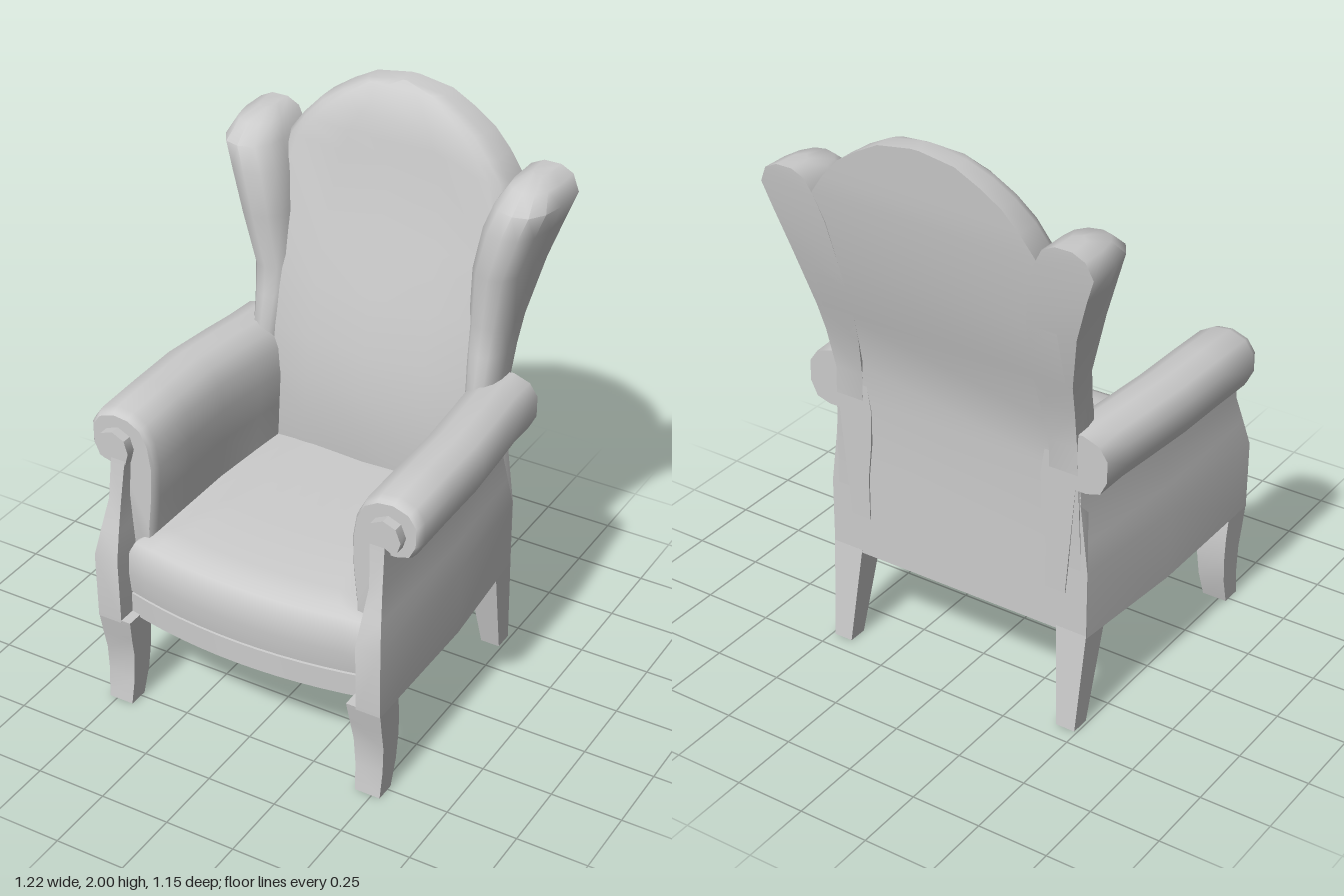
import * as THREE from 'three';
import { toCreasedNormals } from 'three/addons/utils/BufferGeometryUtils.js';

const material = new THREE.MeshStandardMaterial({ color: 0xcccccc });

// Piecewise linear lookup in a list of [key, value]
function along(table, t) {
  if (t <= table[0][0]) return table[0][1];
  for (let i = 1; i < table.length; i++) {
    const [a, va] = table[i - 1], [b, vb] = table[i];
    if (t <= b) return va + (vb - va) * (t - a) / (b - a);
  }
  return table[table.length - 1][1];
}

// Closed solid through rings of [x, y, z]; u and v are the axes of the ring plane
function loft(name, rings, u, v, crease = 0.75) {
  const n = rings[0].length, index = [];
  const points = rings.flat();
  for (let r = 0; r < rings.length - 1; r++) {
    for (let i = 0; i < n; i++) {
      const a = r * n + i, b = r * n + (i + 1) % n;
      index.push(a, b, b + n, a, b + n, a + n);
    }
  }
  const area = ring => THREE.ShapeUtils.area(ring.map(p => new THREE.Vector2(p[u], p[v])));
  [0, rings.length - 1].forEach((r, last) => {
    const flat = rings[r].map(p => new THREE.Vector2(p[u], p[v]));
    const ccw = area(rings[r]) > 0;
    for (const f of THREE.ShapeUtils.triangulateShape(flat, [])) {
      // triangulation follows the ring's own direction; make it agree with the walls
      const s = (flat[f[1]].x - flat[f[0]].x) * (flat[f[2]].y - flat[f[0]].y)
        - (flat[f[1]].y - flat[f[0]].y) * (flat[f[2]].x - flat[f[0]].x);
      const t = ((s > 0) === ccw) === (last === 1) ? f : [f[0], f[2], f[1]];
      index.push(...t.map(k => k + r * n));
    }
  });
  // turn the faces outward if the solid came out inside out
  let volume = 0;
  const P = k => new THREE.Vector3(...points[k]);
  for (let i = 0; i < index.length; i += 3) {
    volume += P(index[i]).dot(P(index[i + 1]).cross(P(index[i + 2])));
  }
  if (volume < 0) index.reverse();
  const geometry = new THREE.BufferGeometry();
  geometry.setAttribute('position', new THREE.Float32BufferAttribute(points.flat(), 3));
  geometry.setIndex(index);
  const mesh = new THREE.Mesh(toCreasedNormals(geometry.toNonIndexed(), crease), material);
  mesh.name = name;
  return mesh;
}
const loftUp = (name, rings, crease) => loft(name, rings, 0, 2, crease);
const loftDeep = (name, rings, crease) => loft(name, rings, 0, 1, crease);

// Rear surface of the backrest by height
const rear = y => along([[0.35, -0.4], [0.8, -0.395], [1.1, -0.405], [1.25, -0.45],
  [1.45, -0.505], [1.6, -0.535], [1.78, -0.56], [2, -0.575]], y);

// Bowed outline of the seat at one height
function seatRing(y, half, front, bow) {
  const ring = [[-half, y, -0.38], [half, y, -0.38]];
  for (let i = 0; i <= 12; i++) {
    const t = 1 - i / 6;
    ring.push([half * t, y, front - bow * t * t]);
  }
  return ring;
}

function backrest() {
  // height, half width, front at the middle, bulge, edge rounding
  const rows = [
    [0.35, 0.505, -0.3, 0, 0.02], [0.6, 0.505, -0.25, 0.04, 0.02], [0.8, 0.48, -0.23, 0.05, 0.02],
    [0.95, 0.465, -0.232, 0.05, 0.02], [1.1, 0.46, -0.25, 0.045, 0.02], [1.3, 0.46, -0.292, 0.035, 0.03],
    [1.5, 0.46, -0.345, 0.025, 0.04], [1.75, 0.41, -0.405, 0.015, 0.05], [1.82, 0.36, -0.415, 0.01, 0.05],
    [1.885, 0.3, -0.43, 0.01, 0.05], [1.935, 0.225, -0.45, 0.005, 0.04], [1.98, 0.14, -0.48, 0, 0.03],
    [2, 0.015, -0.505, 0, 0.004],
  ];
  return loftUp('backrest', rows.map(([y, w, front, bulge, round]) => {
    const half = [[w, front - bulge - round], [w - round * 0.4, front - bulge - round * 0.35],
      [w - round, front - bulge], [(w - round) * 0.5, front - bulge * 0.3]];
    return [[-w, y, rear(y)], [w, y, rear(y)], ...half.map(([x, z]) => [x, y, z]), [0, y, front],
      ...half.reverse().map(([x, z]) => [-x, y, z])];
  }));
}

function wing(s) {
  // height, inner x, outer x, front z
  const rows = [
    [0.6, 0.37, 0.48, -0.27], [1.05, 0.36, 0.465, -0.25], [1.2, 0.345, 0.475, -0.28],
    [1.3, 0.34, 0.485, -0.295], [1.5, 0.35, 0.53, -0.265], [1.65, 0.375, 0.58, -0.272],
    [1.735, 0.405, 0.61, -0.285], [1.79, 0.435, 0.585, -0.35], [1.812, 0.48, 0.54, -0.45],
  ];
  return loftUp('wing', rows.map(([y, xi, xo, zf]) => {
    const w = xo - xi, zb = rear(y), d = zf - zb;
    return [[xo, zb], [xo, zb + 0.45 * d], [xo - 0.08 * w, zb + 0.75 * d], [xo - 0.25 * w, zb + 0.95 * d],
      [xo - 0.5 * w, zf], [xi + 0.22 * w, zb + 0.94 * d], [xi + 0.05 * w, zb + 0.78 * d],
      [xi, zb + 0.55 * d], [xi, zb]].map(([x, z]) => [s * x, y, z]);
  }), 0.9);
}

function arm(s) {
  // rolled top with padding running down to the seat
  const section = [[0.535, 0.9], [0.585, 0.915], [0.61, 0.965], [0.61, 1.04], [0.58, 1.083], [0.52, 1.104],
    [0.46, 1.097], [0.41, 1.068], [0.38, 1.01], [0.366, 0.92], [0.37, 0.8], [0.385, 0.66], [0.385, 0.5],
    [0.46, 0.5], [0.495, 0.9]];
  // z, shrink, sideways shift, lift
  const rows = [[0.47, 0.1, 0, -0.002], [0.46, 0.04, 0, -0.002], [0.435, 0, 0, 0], [0.25, 0, 0, 0.007],
    [0.05, 0, 0, 0.011], [-0.15, 0, -0.018, 0.007], [-0.28, 0, -0.032, 0.003], [-0.402, 0, -0.036, -0.002]];
  return loftDeep('arm', rows.map(([z, k, shift, lift]) => section.map(([x, y]) =>
    [s * (x + (0.48 - x) * k + shift), y + (0.96 - y) * k + lift, z])), 0.8);
}

function sidePanel(s) {
  // height, inner x, outer x, front z
  const rows = [[0.35, 0.45, 0.54, 0.575], [0.6, 0.45, 0.54, 0.58], [0.7, 0.458, 0.526, 0.552],
    [0.8, 0.465, 0.512, 0.522], [0.95, 0.455, 0.508, 0.505]];
  return loftUp('sidePanel', rows.map(([y, xi, xo, zf]) => [[xi, zf], [xo, zf], [xo, 0.05],
    [xo - 0.035, -0.395], [xi - 0.035, -0.395], [xi, 0.05]].map(([x, z]) => [s * x, y, z])), 0.5);
}

function armScroll(s) {
  const section = [[0.455, 0.93], [0.441, 0.98], [0.455, 1.025], [0.5, 1.047], [0.545, 1.03],
    [0.563, 0.985], [0.552, 0.948], [0.53, 0.938], [0.508, 0.95], [0.508, 0.93]];
  return loftDeep('armScroll', [0.4, 0.505].map(z => section.map(([x, y]) => [s * x, y, z])));
}

// Tapered square leg; rows of height, inner x, outer x, back z, front z
function leg(name, s, rows) {
  return loftUp(name, rows.map(([y, xi, xo, zb, zf]) =>
    [[s * xi, y, zb], [s * xo, y, zb], [s * xo, y, zf], [s * xi, y, zf]]), 0.5);
}

export function createModel() {
  const chair = new THREE.Group();
  chair.name = 'wingChair';

  chair.add(loftUp('seatFrame', [seatRing(0.35, 0.455, 0.562, 0.055), seatRing(0.432, 0.455, 0.562, 0.055),
    seatRing(0.434, 0.45, 0.545, 0.055), seatRing(0.445, 0.45, 0.545, 0.055)], 0.5));
  chair.add(loftUp('seatCushion', [
    [0.44, 0.453, 0.562, 0.055], [0.52, 0.455, 0.572, 0.055], [0.595, 0.453, 0.566, 0.055],
    [0.635, 0.435, 0.545, 0.05], [0.655, 0.405, 0.505, 0.045], [0.666, 0.36, 0.44, 0.03],
    [0.678, 0.28, 0.2, 0.02], [0.685, 0.2, -0.1, 0.01],
  ].map(row => seatRing(...row))));
  chair.add(backrest());

  for (const s of [1, -1]) {
    const side = new THREE.Group();
    side.name = s > 0 ? 'leftSide' : 'rightSide';
    side.add(wing(s), arm(s), sidePanel(s), armScroll(s));
    side.add(leg('frontLeg', s, [[0, 0.438, 0.53, 0.48, 0.553], [0.1, 0.432, 0.533, 0.453, 0.541],
      [0.2, 0.426, 0.536, 0.444, 0.543], [0.28, 0.421, 0.538, 0.446, 0.56], [0.36, 0.415, 0.54, 0.457, 0.575]]));
    side.add(leg('backLeg', s, [[0, 0.42, 0.49, -0.44, -0.37], [0.36, 0.39, 0.505, -0.4, -0.29]]));
    chair.add(side);
  }
  return chair;
}
